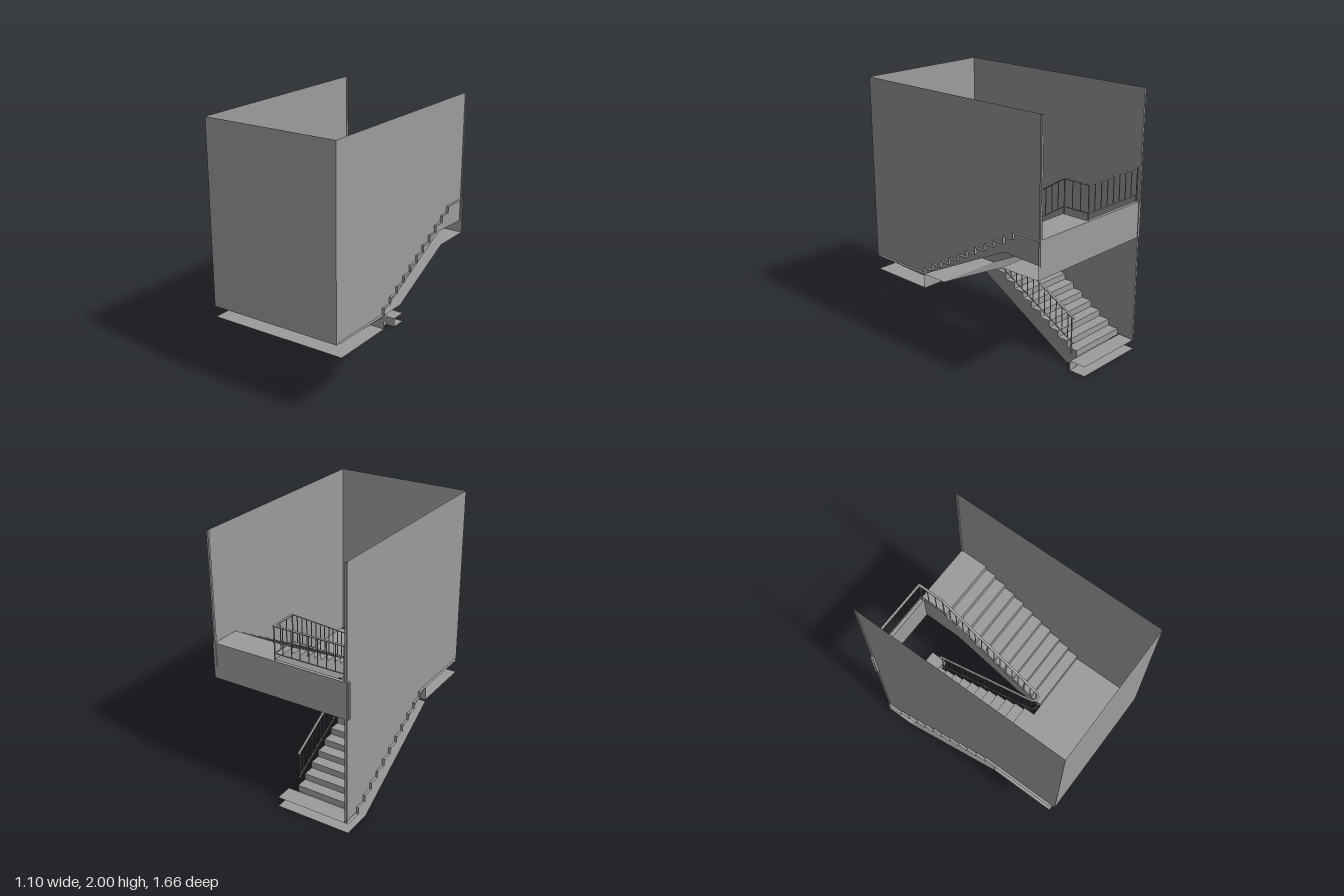
import * as THREE from 'three';

const mat = new THREE.MeshStandardMaterial({ color: 0x9c9c9c, side: THREE.DoubleSide, flatShading: true });
const OUT = 0.55, IN = 0.04, RUN = 0.0877, RISE = 0.0502;
const BASE = 0.075, MID = BASE + 11 * RISE, TOP = MID + 11 * RISE;

export function createModel() {
  const model = new THREE.Group();

  const add = (geometry, name, parent = model) => {
    const mesh = new THREE.Mesh(geometry, mat);
    mesh.name = name;
    parent.add(mesh);
    return mesh;
  };

  // Open sheet: a [z, y] profile swept from x0 to x1
  const sheet = (name, profile, x0, x1) => {
    const pos = [];
    for (let i = 0; i < profile.length - 1; i++) {
      const [za, ya] = profile[i], [zb, yb] = profile[i + 1];
      pos.push(x0, ya, za, x1, ya, za, x1, yb, zb, x0, ya, za, x1, yb, zb, x0, yb, zb);
    }
    const g = new THREE.BufferGeometry();
    g.setAttribute('position', new THREE.Float32BufferAttribute(pos, 3));
    g.computeVertexNormals();
    return add(g, name);
  };

  // Flat upright face in the z-y plane at a given x
  const sideFace = (name, points, x) => {
    const shape = new THREE.Shape(points.map(([z, y]) => new THREE.Vector2(z, y)));
    const g = new THREE.ShapeGeometry(shape);
    g.rotateY(-Math.PI / 2);
    g.translate(x, 0, 0);
    return add(g, name);
  };

  // Narrow open square sleeve on the free end of a wall
  const wallEnd = (name, x, y0) => {
    const g = new THREE.CylinderGeometry(0.0106, 0.0106, 2 - y0, 4, 1, true);
    g.rotateY(Math.PI / 4);
    g.translate(x, (2 + y0) / 2, -0.8225);
    return add(g, name);
  };

  // Stepped profile of eleven risers; dir is the way the flight climbs in z
  const steps = (z, y, dir) => {
    const pts = [[z, y]];
    for (let i = 0; i < 11; i++) {
      y += RISE;
      pts.push([z, y]);
      if (i < 10) pts.push([z += dir * RUN, y]);
    }
    return pts;
  };

  // Lower flight with its entry floor
  const lower = steps(-0.685, BASE, 1);
  const lowerSoffit = [[0.28, 0.505], [-0.59, 0], [-0.69, 0]];
  sheet('lowerSteps', lower, -OUT, -IN);
  sheet('lowerSoffit', lowerSoffit, -OUT, -IN);
  sideFace('lowerStringer', [...lower, [0.28, MID], ...lowerSoffit], -IN);
  sheet('entryFloor', [[-0.69, BASE], [-0.825, BASE]], -OUT, IN);
  sheet('entryUnderside', [[-0.69, 0], [-0.825, 0]], -OUT, IN);
  sheet('entryEdge', [[-0.69, 0], [-0.69, BASE]], -IN, IN);

  // Half landing
  sheet('landingFloor', [[0.28, MID], [0.80, MID]], -OUT, OUT);
  sheet('landingFloorStrip', [[lower.at(-1)[0], MID], [0.28, MID]], -OUT, -IN);
  sheet('landingUnderside', [[0.28, 0.52], [0.80, 0.52]], -OUT, OUT);
  sheet('landingEdge', [[0.28, 0.515], [0.28, MID]], -OUT, OUT);

  // Upper flight with the top landing
  const topLine = [...steps(0.28, MID, -1), [-0.825, TOP]];
  const soffit = [[-0.825, 0.905], [-0.5, 0.905], [0.07, MID], [0.28, MID]];
  sheet('upperSteps', topLine, IN, OUT);
  sheet('upperSoffit', soffit, IN, OUT);
  sideFace('upperStringer', [...topLine, ...soffit.slice(0, 3)], IN);
  sheet('topFascia', [[-0.80, 0.905], [-0.80, TOP], [-0.825, TOP], [-0.825, 0.905], [-0.80, 0.905]], -OUT, IN);
  sheet('topFasciaBack', [[-0.825, 0.905], [-0.825, TOP]], IN, OUT);

  // Walls, cut away below the flights
  sideFace('rightWall', [[0.83, 2], [0.83, 0.62], [0.28, 0.6], [0.28, MID], [-0.5, 1.01], [-0.83, 1], [-0.83, 2]], 0.53);
  sideFace('leftWall', [[0.83, 2], [0.83, 0.62], [0.28, 0.6], [-0.68, 0.085], [-0.83, 0.08], [-0.83, 2]], -0.53);
  sheet('frontWall', [[0.83, 0.62], [0.83, 2]], -0.53, 0.53);
  wallEnd('rightWallEnd', 0.53, 1);
  wallEnd('leftWallEnd', -0.53, 0.08);

  // Railing: one path up the lower flight, round the turn, up and across the top
  const railing = new THREE.Group();
  railing.name = 'railing';
  model.add(railing);
  const V = (x, y, z) => new THREE.Vector3(x, y, z);
  const R = 0.033, TURN = 0.24;
  const path = [V(-R, 0.375, -0.66), V(-R, 0.875, TURN)];
  for (let i = 1; i < 6; i++) {
    const a = Math.PI * i / 6;
    path.push(V(-R * Math.cos(a), 0.875 + 0.005 * i, TURN + R * Math.sin(a)));
  }
  path.push(V(R, 0.905, TURN), V(R, 1.43, -0.6), V(R, 1.43, -0.81), V(-0.51, 1.43, -0.81));

  const beam = (name, a, b, w, h) => {
    const m = add(new THREE.BoxGeometry(w, h, a.distanceTo(b) + w * 0.3), name, railing);
    m.position.copy(a).add(b).multiplyScalar(0.5);
    m.lookAt(b);
  };
  const post = (p, y0, w) => {
    const m = add(new THREE.BoxGeometry(w, p.y - y0, w), 'baluster', railing);
    m.position.set(p.x, (p.y + y0) / 2, p.z);
  };
  const DROP = 0.2;
  for (let i = 0; i < path.length - 1; i++) {
    const a = path[i], b = path[i + 1];
    beam('handrail', a, b, 0.018, 0.006);
    beam('bottomRail', a.clone().setY(a.y - DROP), b.clone().setY(b.y - DROP), 0.008, 0.005);
    const n = Math.round(a.distanceTo(b) / 0.065);
    for (let k = 1; k < n; k++) {
      const p = a.clone().lerp(b, k / n);
      post(p, p.y - DROP, 0.005);
    }
  }
  // Longer posts reaching the floor at the ends and corners
  post(V(-R, 0.385, -0.64), 0.09, 0.007);
  post(path[1], MID, 0.007);
  post(path[7], MID, 0.007);
  for (const p of path.slice(-3)) post(p, TOP, 0.007);

  return model;
}
